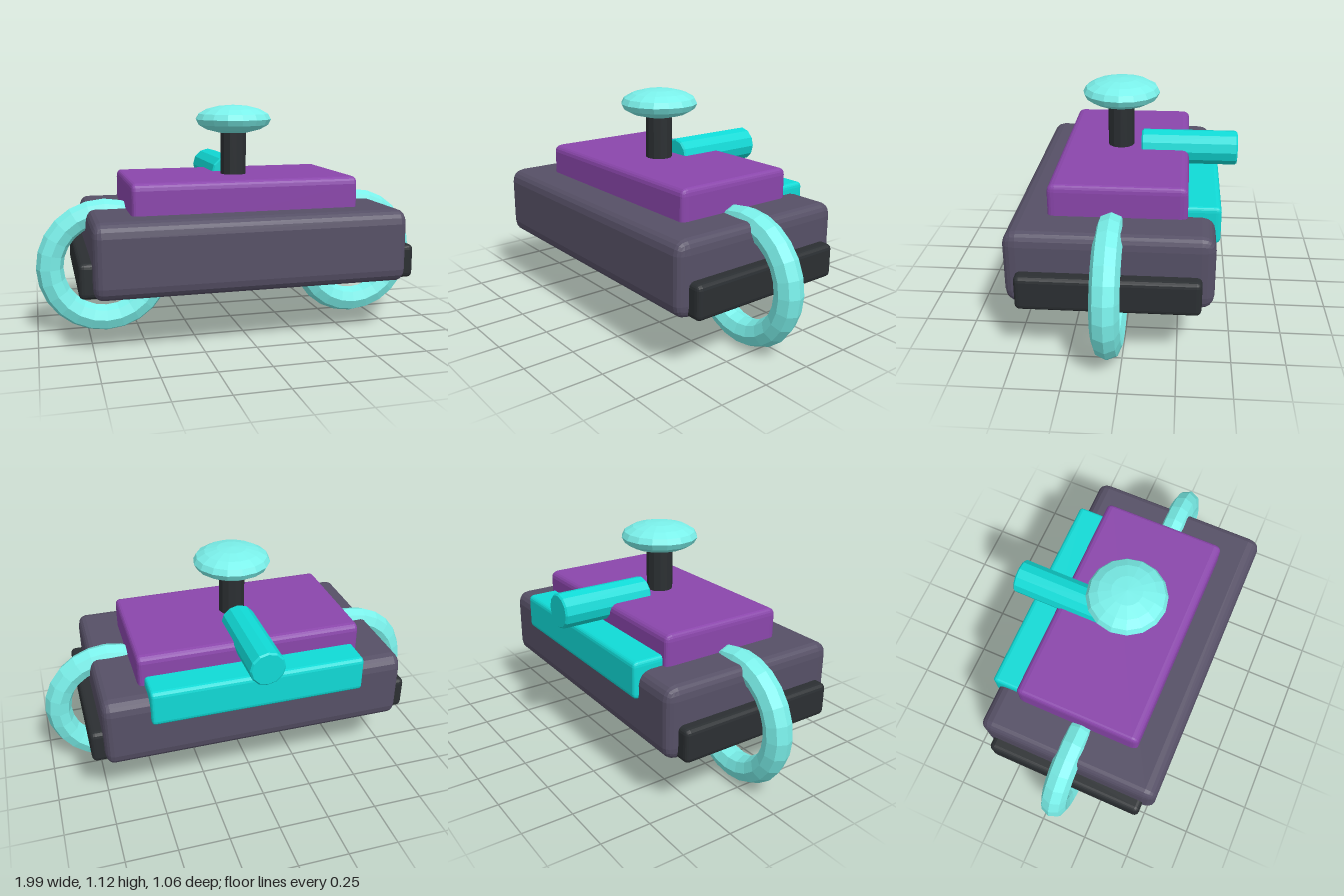
import * as THREE from 'three';
import { RoundedBoxGeometry } from 'three/addons/geometries/RoundedBoxGeometry.js';

const mat = (color) => new THREE.MeshStandardMaterial({ color, flatShading: true });
const slate = mat(0x565066), purple = mat(0x8a46ab), cyan = mat(0x10dad6);
const aqua = mat(0x7af0ea), dark = mat(0x2b2f32);

// Box between two corners, with a two-step bevel of its own width on each axis
function bevelBox(min, max, bevel) {
  const r = 0.1;
  const geo = new RoundedBoxGeometry(1, 1, 1, 2, r);
  const pos = geo.attributes.position;
  for (let i = 0; i < pos.count; i++) {
    for (let a = 0; a < 3; a++) {
      const v = pos.getComponent(i, a);
      const inset = ((0.5 - Math.abs(v)) / r) * bevel[a];
      pos.setComponent(i, a, v > 0 ? max[a] - inset : min[a] + inset);
    }
  }
  geo.computeVertexNormals();
  return geo;
}

// Cylinder with lightly chamfered rims
function rod(radius, length, chamfer, sides) {
  const h = length / 2;
  const profile = [[0, -h], [radius - chamfer, -h], [radius, -h + chamfer],
    [radius, h - chamfer], [radius - chamfer, h], [0, h]];
  return new THREE.LatheGeometry(profile.map(([x, y]) => new THREE.Vector2(x, y)), sides);
}

export function createModel() {
  const group = new THREE.Group();
  const add = (name, geo, material, x = 0, y = 0, z = 0) => {
    const mesh = new THREE.Mesh(geo, material);
    mesh.name = name;
    mesh.position.set(x, y, z);
    group.add(mesh);
    return mesh;
  };

  // Stacked hull
  add('body', bevelBox([-0.755, 0.28, -0.412], [0.755, 0.635, 0.53], [0.04, 0.065, 0.063]), slate);
  add('deck', bevelBox([-0.56, 0.5, -0.285], [0.56, 0.785, 0.355], [0.02, 0.035, 0.035]), purple);
  add('rearBar', bevelBox([-0.53, 0.5, -0.437], [0.53, 0.682, -0.2], [0.015, 0.025, 0.025]), cyan);

  // Rings and strips on both sides
  for (const [side, s] of [['left', 1], ['right', -1]]) {
    add(side + 'Ring', new THREE.TorusGeometry(0.27, 0.066, 8, 24), aqua, s * 0.661, 0.344, 0.06);
    const x = [s * 0.68, s * 0.815].sort((a, b) => a - b);
    add(side + 'Strip', bevelBox([x[0], 0.287, -0.355], [x[1], 0.453, 0.474], [0.025, 0.025, 0.025]), dark);
  }

  // Rear tube lying along z
  const tube = add('rearTube', rod(0.087, 0.482, 0.008, 12), cyan, 0, 0.775, -0.286);
  tube.rotation.x = Math.PI / 2;

  // Stem and flattened knob
  add('stem', rod(0.066, 0.32, 0.006, 12), dark, 0, 0.88, 0.06);
  const knob = add('knob', new THREE.SphereGeometry(1, 16, 8), aqua, 0, 1.06, 0.058);
  knob.scale.set(0.192, 0.072, 0.192);

  return group;
}
